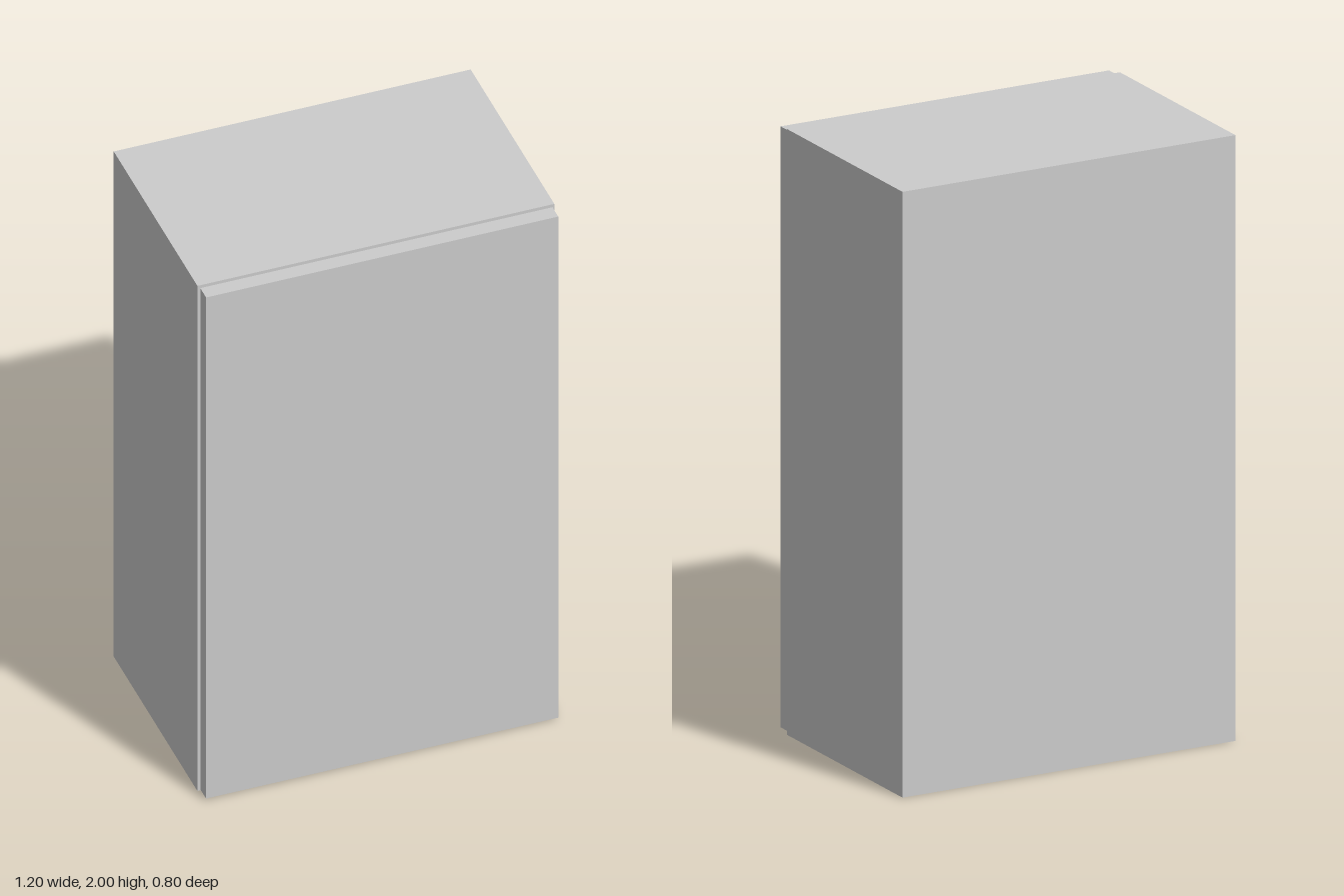
import * as THREE from 'three';

// Wardrobe-style cabinet: a carcass of flat panels with a slab door in front.
export function createModel() {
  const group = new THREE.Group();
  const material = new THREE.MeshStandardMaterial({ color: 0xcccccc, flatShading: true });

  // Adds a panel from its minimum and maximum corners.
  const panel = (name, [x0, y0, z0], [x1, y1, z1]) => {
    const mesh = new THREE.Mesh(new THREE.BoxGeometry(x1 - x0, y1 - y0, z1 - z0), material);
    mesh.position.set((x0 + x1) / 2, (y0 + y1) / 2, (z0 + z1) / 2);
    mesh.name = name;
    group.add(mesh);
  };

  const W = 0.6, H = 2, T = 0.047; // half width, height, panel thickness
  const back = -0.4, front = 0.344, inner = W - T;

  // Full-height sides
  panel('leftSide', [inner, 0, back], [W, H, front]);
  panel('rightSide', [-W, 0, back], [-inner, H, front]);

  // Top and bottom fitted between the sides
  panel('bottomPanel', [-inner, 0, back], [inner, T, front]);
  panel('topPanel', [-inner, H - T, back], [inner, H, front]);

  // Back closing the opening, flush with the rear edges
  panel('backPanel', [-inner, T, back], [inner, H - T, back + T]);

  // Door, slightly smaller than the carcass and set off by a thin gap
  panel('door', [-W + 0.008, 0.008, front + 0.004], [W - 0.008, H - 0.008, 0.4]);

  return group;
}
